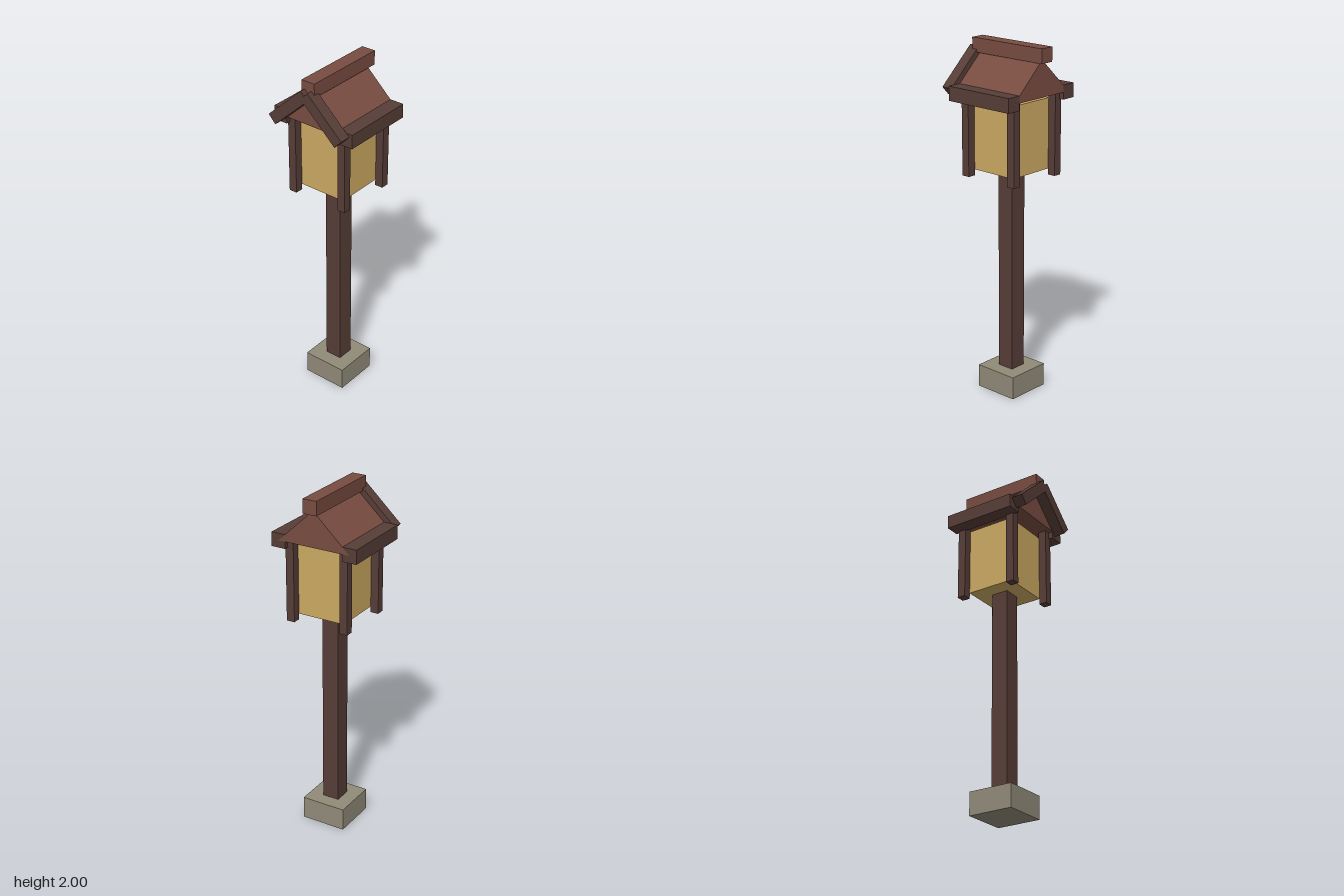
import * as THREE from 'three';

const material = (name, color) => {
  const m = new THREE.MeshStandardMaterial({ color });
  m.name = name;
  return m;
};

export function createModel() {
  const wood = material('dark wood', 0x573d37);
  const roofRed = material('red brown roof', 0x784c41);
  const paper = material('warm paper', 0xcca962);
  const stone = material('grey stone', 0x908a78);

  const model = new THREE.Group();
  model.name = 'postLantern';
  const zc = -0.016; // axis of the post, set back by the front boards

  const add = (name, geometry, mat, x, y, z) => {
    const mesh = new THREE.Mesh(geometry, mat);
    mesh.name = name;
    mesh.position.set(x, y, z);
    model.add(mesh);
    return mesh;
  };
  // Box given by its size, bottom height and centre
  const box = (name, mat, w, h, d, x, bottom, z) =>
    add(name, new THREE.BoxGeometry(w, h, d), mat, x, bottom + h / 2, z);

  // Foot and post
  box('stoneBase', stone, 0.264, 0.132, 0.264, 0, 0, zc);
  box('post', wood, 0.1, 1.168, 0.1, 0, 0.132, zc);

  // Lantern body with four corner posts
  box('lanternBody', paper, 0.284, 0.396, 0.284, 0, 1.3, zc);
  for (const sx of [-1, 1]) {
    for (const sz of [-1, 1]) {
      box('cornerPost', wood, 0.048, 0.466, 0.048, sx * 0.165, 1.266, zc + sz * 0.165);
    }
  }

  // Gabled roof
  const gable = new THREE.Shape([
    new THREE.Vector2(-0.217, 1.73),
    new THREE.Vector2(0.217, 1.73),
    new THREE.Vector2(0, 1.932),
  ]);
  const roof = new THREE.ExtrudeGeometry(gable, { depth: 0.432, bevelEnabled: false });
  add('roof', roof, roofRed, 0, 0, zc - 0.216);
  box('ridgeBeam', roofRed, 0.083, 0.08, 0.498, 0, 1.92, zc);

  // Eave beams and sloping boards on the front gable
  const angle = 0.747, length = 0.297, thickness = 0.064;
  for (const s of [-1, 1]) {
    box('eaveBeam', wood, 0.083, 0.08, 0.432, s * 0.2165, 1.69, zc);
    const board = add('gableBoard', new THREE.BoxGeometry(length, thickness, 0.066), wood,
      s * (0.131 - Math.sin(angle) * thickness / 2),
      1.854 - Math.cos(angle) * thickness / 2, 0.233);
    board.rotation.z = -s * angle;
  }
  return model;
}
